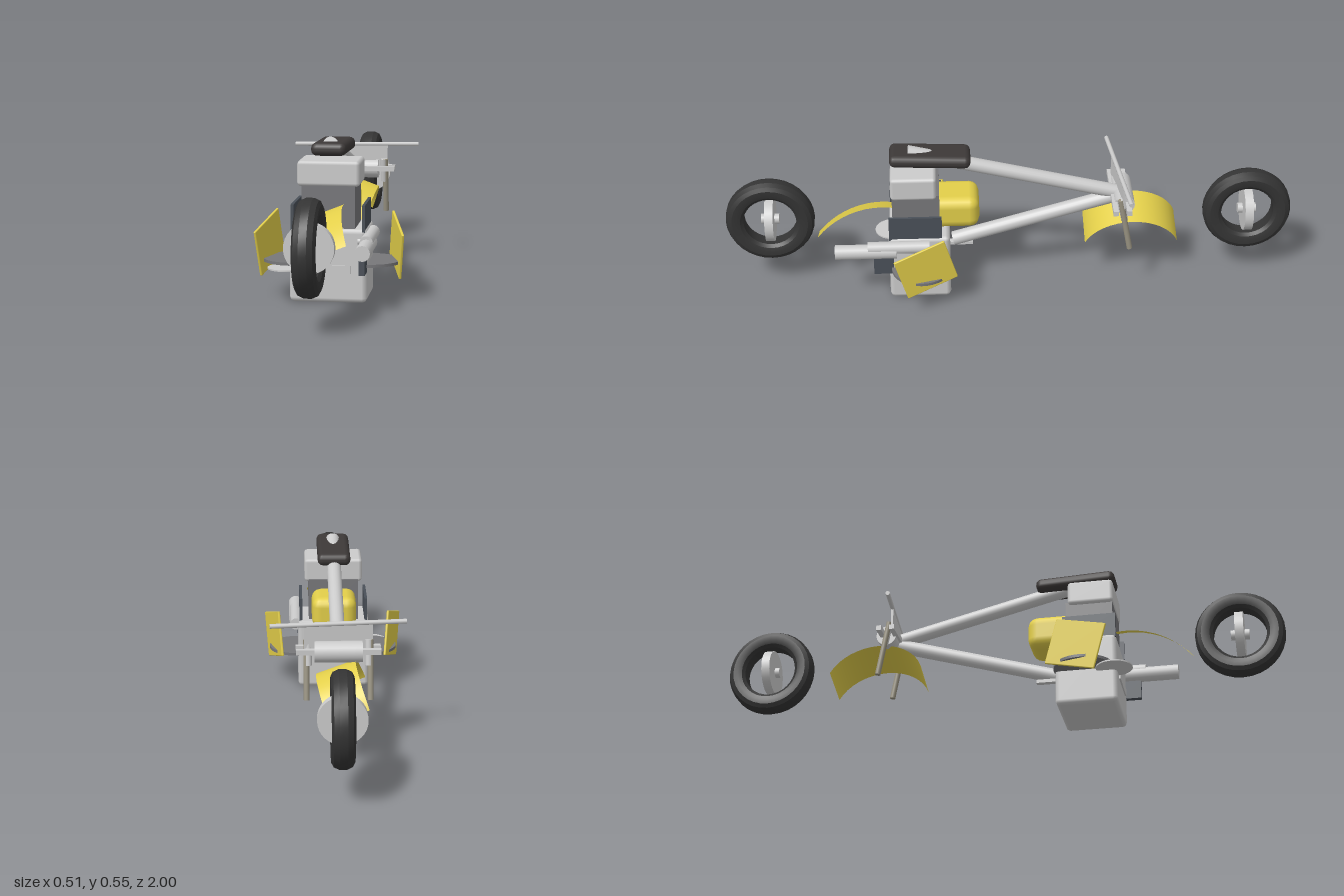
import * as THREE from 'three';
import { toCreasedNormals } from 'three/addons/utils/BufferGeometryUtils.js';
import { RoundedBoxGeometry } from 'three/addons/geometries/RoundedBoxGeometry.js';

const mat = (color, extra = {}) => new THREE.MeshStandardMaterial({ color, ...extra });
const grey = mat(0xcccccc);
const midGrey = mat(0x77777a);
const slate = mat(0x4a5058);
const rubber = mat(0x343434);
const leather = mat(0x3d3938);
const bronze = mat(0x9a9483);
const yellow = mat(0xe3cf4a);
const yellowSheet = mat(0xe3cf4a, { side: THREE.DoubleSide });

export function createModel() {
  const model = new THREE.Group();

  const add = (name, geometry, material, x = 0, y = 0, z = 0, parent = model) => {
    const mesh = new THREE.Mesh(geometry, material);
    mesh.name = name;
    mesh.position.set(x, y, z);
    parent.add(mesh);
    return mesh;
  };

  const box = (name, w, h, d, material, x, y, z) =>
    add(name, new THREE.BoxGeometry(w, h, d), material, x, y, z);

  // Box with small chamfered edges
  const softBox = (name, w, h, d, r, material, x, y, z, segments = 1) =>
    add(name, new RoundedBoxGeometry(w, h, d, segments, r), material, x, y, z);

  // Straight round bar between two points
  const rod = (name, a, b, r, material = grey, sides = 16, parent = model) => {
    const from = new THREE.Vector3(...a);
    const dir = new THREE.Vector3(...b).sub(from);
    const mesh = add(name, new THREE.CylinderGeometry(r, r, dir.length(), sides), material, 0, 0, 0, parent);
    mesh.position.copy(from).addScaledVector(dir, 0.5);
    mesh.quaternion.setFromUnitVectors(new THREE.Vector3(0, 1, 0), dir.normalize());
    return mesh;
  };

  // Wheels: open tyre around a crosswise disc and its hub
  const half = [[0.093, 0.024], [0.104, 0.033], [0.118, 0.037], [0.134, 0.037], [0.148, 0.03], [0.156, 0.0125]];
  const section = [
    ...half.map(([r, w]) => new THREE.Vector2(r, -w)),
    ...half.slice().reverse().map(([r, w]) => new THREE.Vector2(r, w)),
    new THREE.Vector2(half[0][0], -half[0][1]),
  ];
  const tyreGeometry = toCreasedNormals(new THREE.LatheGeometry(section, 32), 0.4);
  for (const [name, z] of [['frontWheel', 0.845], ['rearWheel', -0.845]]) {
    const wheel = new THREE.Group();
    wheel.name = name;
    wheel.position.set(0, 0.264, z);
    add('tyre', tyreGeometry, rubber, 0, 0, 0, wheel).rotation.z = Math.PI / 2;
    rod('wheelDisc', [0, 0, -0.015], [0, 0, 0.015], 0.08, grey, 32, wheel);
    rod('hub', [0, 0, -0.032], [0, 0, 0.032], 0.018, grey, 16, wheel);
    model.add(wheel);
  }

  // Engine stack
  softBox('engineBlock', 0.26, 0.25, 0.215, 0.016, grey, 0, 0.125, 0.32);
  box('cylinderBlock', 0.18, 0.16, 0.165, midGrey, 0, 0.32, 0.33);
  softBox('cylinderHead', 0.21, 0.085, 0.16, 0.012, grey, 0, 0.432, 0.337);
  box('frontPlate', 0.155, 0.027, 0.03, grey, 0, 0.114, 0.418);
  box('sideBox', 0.02, 0.066, 0.07, slate, 0.12, 0.138, 0.447);
  rod('airDisc', [-0.14, 0.112, 0.42], [-0.14, 0.117, 0.42], 0.063, grey, 32);
  box('rearPeg', 0.02, 0.012, 0.1, grey, -0.01, 0.14, 0.18);

  // Exhaust
  rod('muffler', [0.137, 0.205, 0.4], [0.137, 0.205, 0.615], 0.026);
  rod('upperPipe', [0.137, 0.22, 0.285], [0.137, 0.22, 0.5], 0.022);
  rod('exhaustStub', [0.1, 0.21, 0.42], [0.137, 0.21, 0.42], 0.012);

  // Tank and seat
  softBox('tank', 0.16, 0.118, 0.17, 0.035, yellow, 0, 0.309, 0.193, 2);
  const seat = softBox('seat', 0.118, 0.044, 0.282, 0.02, leather, 0, 0.508, 0.277, 2);
  seat.rotation.x = -0.04;

  // Frame tubes meeting at the steering head
  rod('upperFrameTube', [0, 0.525, 0.355], [0, 0.34, -0.4], 0.025, grey, 20);
  rod('lowerFrameTube', [0, 0.162, 0.2], [0, 0.338, -0.4], 0.025, grey, 20);
  rod('steeringHead', [-0.08, 0.338, -0.4], [0.08, 0.338, -0.4], 0.036, grey, 20);

  // Steering: clamps, bracket plate and bar
  for (const z of [-0.412, -0.365]) box('clampBar', 0.284, 0.018, 0.018, grey, 0, 0.341, z);
  const bracket = box('barBracket', 0.23, 0.085, 0.008, grey, 0, 0.384, -0.383);
  bracket.rotation.y = 0.1;
  rod('handlebar', [-0.228, 0.43, -0.36], [0.228, 0.43, -0.407], 0.008, grey, 10);

  // Paired parts on both sides
  for (const s of [-1, 1]) {
    rod('forkLeg', [s * 0.107, 0.375, -0.383], [s * 0.107, 0.175, -0.42], 0.01, bronze, 12);
    rod('forkSleeve', [s * 0.101, 0.375, -0.383], [s * 0.101, 0.29, -0.399], 0.012, grey, 12);
    box('sidePanel', 0.01, 0.09, 0.185, slate, s * 0.119, 0.285, 0.333);
    rod('footboard', [s * 0.13, 0.121, 0.315], [s * 0.13, 0.131, 0.315], 0.105, midGrey, 32);

    // Leaning leg shield, placed by its edge directions
    const along = new THREE.Vector3(s * 0.05, -0.055, 0.175).normalize();
    const down = new THREE.Vector3(s * -0.014, -0.157, -0.047);
    down.addScaledVector(along, -down.dot(along)).normalize();
    const out = new THREE.Vector3().crossVectors(along, down);
    const shield = softBox('legShield', 0.19, 0.165, 0.009, 0.003, yellow, s * 0.218, 0.179, 0.299);
    shield.quaternion.setFromRotationMatrix(new THREE.Matrix4().makeBasis(along, down, out));
  }

  // Fender: thin arc strip, its crown at the given point, rolled sideways
  const fender = (name, radius, width, from, to, roll, x, y, z) => {
    const geometry = new THREE.CylinderGeometry(radius, radius, width, 16, 1, true, from, to - from);
    geometry.rotateX(-Math.PI / 2).rotateY(Math.PI / 2); // arc now in the yz plane, angle 0 at +y
    geometry.translate(0, -radius, 0);
    add(name, geometry, yellowSheet, x, y, z).rotation.z = roll;
  };
  fender('frontFender', 0.3, 0.108, -0.85, 0.68, 0.38, 0.005, 0.315, 0.45);
  fender('rearFender', 0.175, 0.14, -1.23, 1.23, -0.35, 0.01, 0.287, -0.433);

  return model;
}
